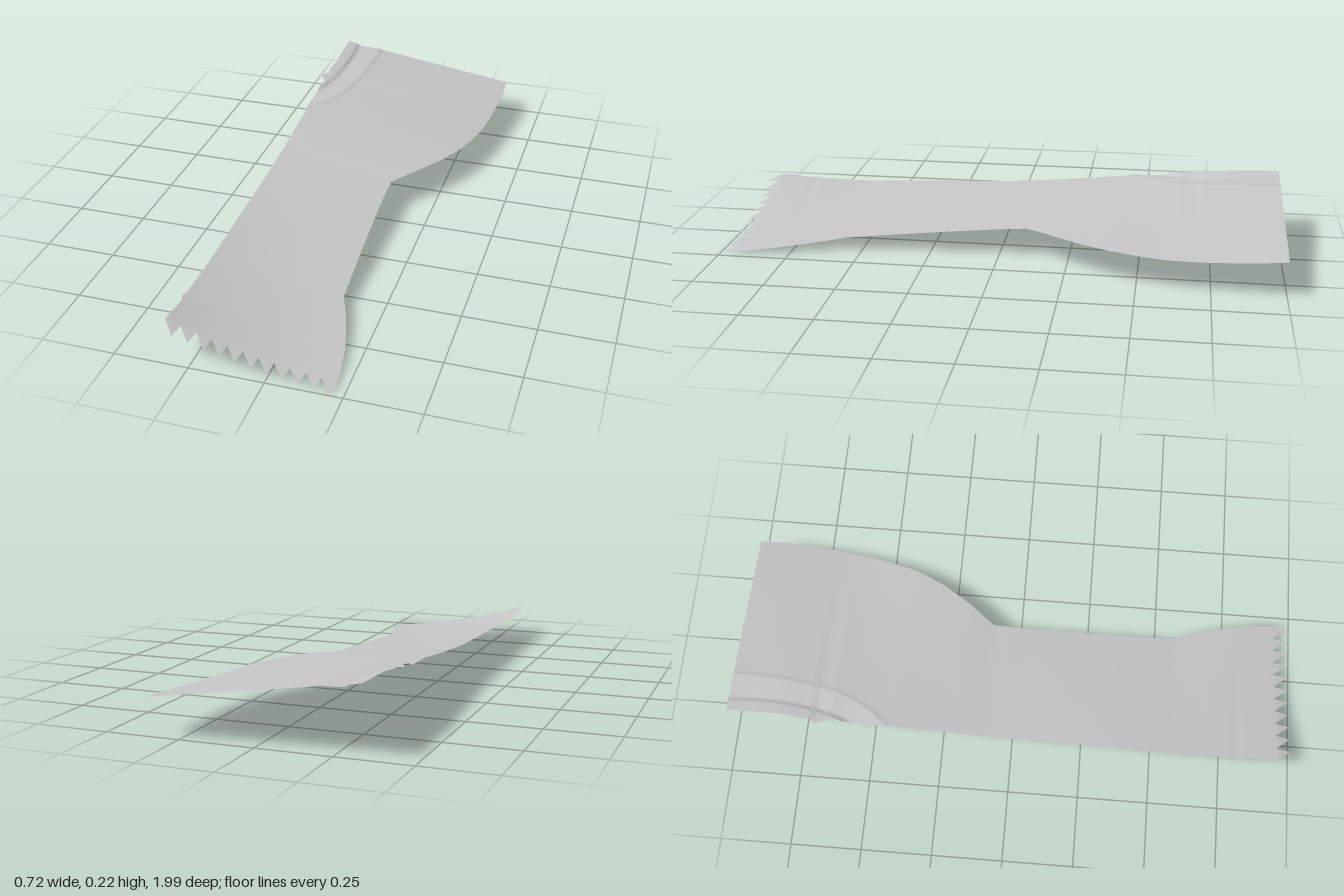
import * as THREE from 'three';

// Piecewise curve through [z, value] points: straight, or smooth (Hermite)
function curve(points, smooth = false) {
  const slope = (i) => {
    const a = points[Math.max(i - 1, 0)], b = points[Math.min(i + 1, points.length - 1)];
    return (b[1] - a[1]) / (b[0] - a[0]);
  };
  return (z) => {
    const last = points.length - 1;
    if (z <= points[0][0]) return points[0][1];
    if (z >= points[last][0]) return points[last][1];
    let i = 0;
    while (z > points[i + 1][0]) i++;
    const [z0, v0] = points[i], [z1, v1] = points[i + 1];
    const h = z1 - z0, t = (z - z0) / h;
    if (!smooth) return v0 + (v1 - v0) * t;
    const t2 = t * t, t3 = t2 * t;
    return (2 * t3 - 3 * t2 + 1) * v0 + (t3 - 2 * t2 + t) * h * slope(i)
      + (3 * t2 - 2 * t3) * v1 + (t3 - t2) * h * slope(i + 1);
  };
}

// Plan outline: the left side is nearly straight with small ragged nicks
const leftX = curve([[-1, -0.34], [-0.8, -0.337], [-0.73, -0.345], [-0.71, -0.337], [-0.69, -0.362],
  [-0.65, -0.345], [-0.64, -0.335], [-0.6, -0.342], [-0.45, -0.345], [-0.42, -0.34],
  [0.78, -0.34], [0.8, -0.35], [0.815, -0.337], [0.95, -0.342]]);
const rightX = curve([[-1, 0.355], [-0.9, 0.36], [-0.8, 0.354], [-0.7, 0.347], [-0.6, 0.335],
  [-0.5, 0.315], [-0.4, 0.287], [-0.3, 0.24], [-0.2, 0.175], [-0.1, 0.097], [0, 0.096], [0.2, 0.102],
  [0.4, 0.11], [0.56, 0.117], [0.63, 0.145], [0.7, 0.168], [0.8, 0.195], [0.9, 0.21], [0.98, 0.217]]);

// Heights of the two long edges, and the sag between them
const leftY = curve([[-1, 0.225], [-0.8, 0.217], [-0.6, 0.199], [-0.4, 0.178], [-0.2, 0.157], [0, 0.14],
  [0.2, 0.131], [0.4, 0.124], [0.6, 0.115], [0.8, 0.119], [0.94, 0.127], [0.99, 0.12]], true);
const rightY = curve([[-1, 0.125], [-0.8, 0.111], [-0.6, 0.103], [-0.4, 0.108], [-0.2, 0.11], [-0.1, 0.104],
  [0, 0.096], [0.3, 0.069], [0.56, 0.043], [0.8, 0.02], [0.99, 0]], true);
const sag = curve([[-1, 0], [0, 0], [0.4, 0.004], [0.7, 0.01], [0.99, 0.018]], true);

// Two curved ridges in the back corner
const outerRidge = curve([[-1, -0.187], [-0.9, -0.188], [-0.75, -0.2], [-0.65, -0.217], [-0.57, -0.242],
  [-0.5, -0.282], [-0.43, -0.34], [-0.3, -0.5]], true);
const innerRidge = curve([[-1, -0.292], [-0.9, -0.286], [-0.75, -0.293], [-0.65, -0.313],
  [-0.58, -0.34], [-0.45, -0.5]], true);

function ridgeOffset(x, z) {
  const outer = outerRidge(z), inner = innerRidge(z);
  const terrace = THREE.MathUtils.clamp((outer - x) / 0.09, 0, 1);
  return THREE.MathUtils.smoothstep(outer - x, 0, 0.014) * (0.005 - 0.012 * terrace)
    + THREE.MathUtils.smoothstep(inner - x, 0, 0.012) * 0.007;
}

const COLS = 110, ROWS = 150, TOOTH = 10;

// Saw-tooth front end: each tooth slopes out, then cuts straight back
function frontZ(col) {
  const k = (col % TOOTH) / TOOTH;
  if (col >= COLS - 4) return 0.99 - 0.003 * (col - COLS + 4);
  return k <= 0.8 ? 0.94 + 0.05 * k / 0.8 : 0.94 + 0.05 * (1 - k) / 0.2;
}

function sheetGeometry() {
  const positions = [], index = [];
  for (let r = 0; r <= ROWS; r++) {
    const z0 = -1 + 1.94 * r / (ROWS - 4);
    for (let c = 0; c <= COLS; c++) {
      const u = c / COLS;
      const beyond = (r - (ROWS - 4)) / 4;
      // the last four rows stretch into the teeth
      const z = beyond > 0 ? 0.94 + (frontZ(c) - 0.94) * beyond : z0;
      const x = THREE.MathUtils.lerp(leftX(z), rightX(z), u);
      const y = THREE.MathUtils.lerp(leftY(z), rightY(z), u)
        - sag(z) * 4 * u * (1 - u) + ridgeOffset(x, z);
      positions.push(x, Math.max(y, 0), z);
      if (r < ROWS && c < COLS) {
        const a = r * (COLS + 1) + c, b = a + COLS + 1;
        index.push(a, b, a + 1, b, b + 1, a + 1);
      }
    }
  }
  const geometry = new THREE.BufferGeometry();
  geometry.setAttribute('position', new THREE.Float32BufferAttribute(positions, 3));
  geometry.setIndex(index);
  geometry.computeVertexNormals();
  return geometry;
}

export function createModel() {
  const group = new THREE.Group();
  group.name = 'curvedPanel';
  const lightGrey = new THREE.MeshStandardMaterial({ color: 0xc6c6c6, side: THREE.DoubleSide });
  lightGrey.name = 'lightGrey';
  const sheet = new THREE.Mesh(sheetGeometry(), lightGrey);
  sheet.name = 'panelSheet';
  group.add(sheet);
  return group;
}
